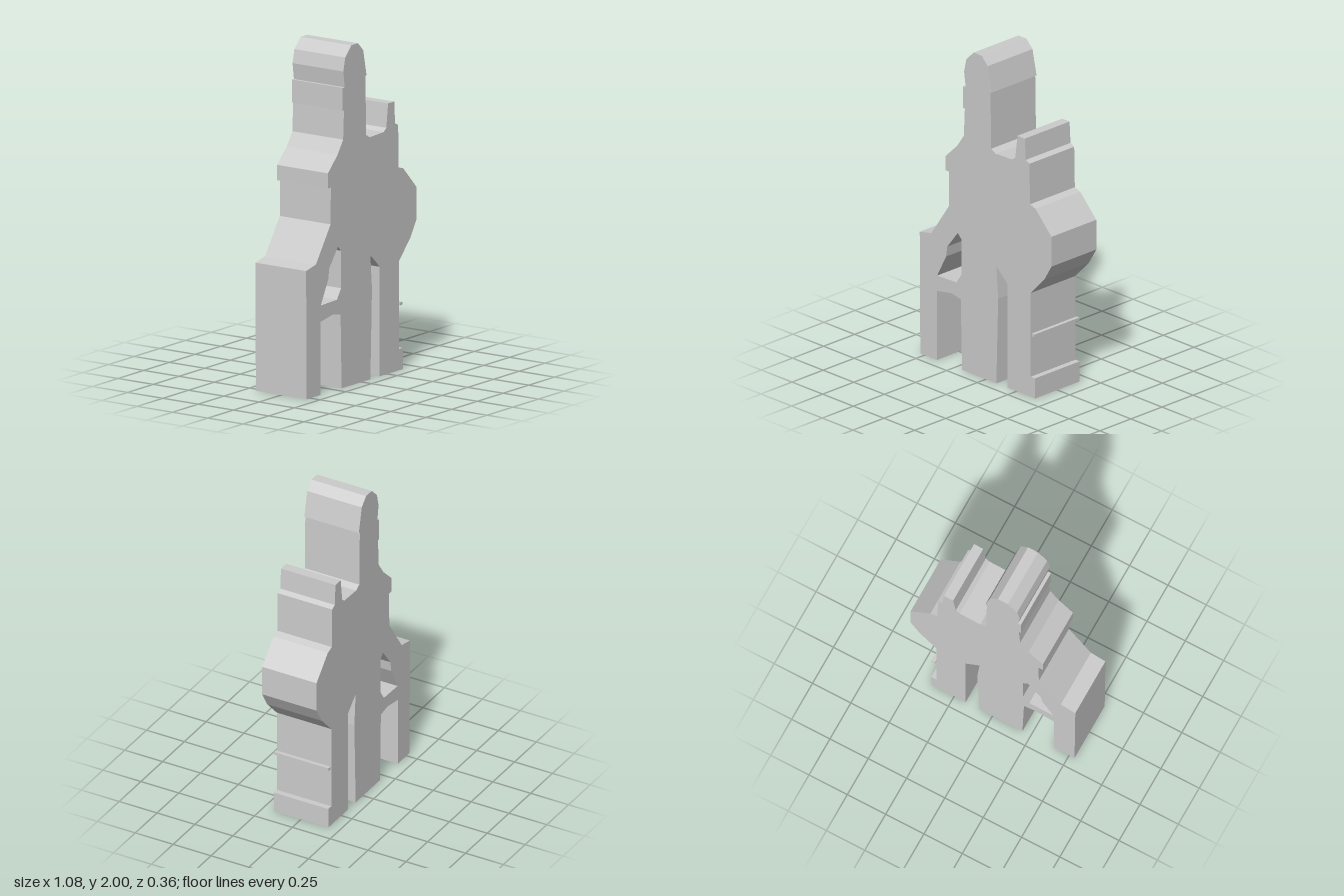
import * as THREE from 'three';

const DEPTH = 0.36;

// Extrude a flat outline (with optional holes) into a slab centred on z = 0
function slab(name, outline, holes = []) {
  const toPoints = (pts) => pts.map(([x, y]) => new THREE.Vector2(x, y));
  const shape = new THREE.Shape(toPoints(outline));
  for (const hole of holes) shape.holes.push(new THREE.Path(toPoints(hole)));
  const geometry = new THREE.ExtrudeGeometry(shape, { depth: DEPTH, bevelEnabled: false });
  geometry.translate(0, 0, -DEPTH / 2);
  const material = new THREE.MeshStandardMaterial({ color: 0xcccccc, flatShading: true });
  const mesh = new THREE.Mesh(geometry, material);
  mesh.name = name;
  return mesh;
}

export function createModel() {
  const model = new THREE.Group();
  model.name = 'cutoutTower';

  // Outline runs counter-clockwise from the foot of the right buttress
  const buttressLeg = [[-0.535, 0], [-0.4, 0], [-0.4, 0.43]];
  const buttressArch = [[-0.28, 0.45], [-0.205, 0.435]];
  const centreLeg = [[-0.195, 0], [0.085, 0], [0.1, 0.53], [0.085, 0.73]];
  const sideLeg = [[0.175, 0.645], [0.175, 0], [0.4, 0], [0.4, 0.125], [0.365, 0.125], [0.365, 0.645]];
  const sideBulge = [[0.475, 0.76], [0.535, 0.86], [0.535, 1.045], [0.405, 1.18], [0.36, 1.195]];
  const chimney = [[0.355, 1.445], [0.325, 1.46], [0.317, 1.59], [0.257, 1.59], [0.24, 1.45], [0.215, 1.43]];
  const tower = [
    [0.08, 1.425], [0.043, 1.445], [0.037, 1.795], [0.048, 1.795], [0.015, 1.95],
    [-0.035, 2], [-0.1, 2], [-0.16, 1.94], [-0.178, 1.86], [-0.165, 1.765],
    [-0.185, 1.765], [-0.185, 1.63], [-0.172, 1.63], [-0.18, 1.46],
  ];
  const shoulder = [[-0.235, 1.38], [-0.328, 1.29], [-0.328, 1.2], [-0.3, 1.2], [-0.302, 0.985]];
  const buttressTop = [[-0.445, 0.775], [-0.54, 0.755]];

  const window = [
    [-0.398, 0.525], [-0.325, 0.665], [-0.315, 0.73], [-0.23, 0.84],
    [-0.2, 0.81], [-0.2, 0.59], [-0.24, 0.53],
  ];

  model.add(slab('body', [
    ...buttressLeg, ...buttressArch, ...centreLeg, ...sideLeg, ...sideBulge,
    ...chimney, ...tower, ...shoulder, ...buttressTop,
  ], [window]));

  // Thin loose rail beside the left leg
  model.add(slab('sideRail', [[0.375, 0.38], [0.398, 0.38], [0.398, 0.397], [0.375, 0.397]]));

  return model;
}
